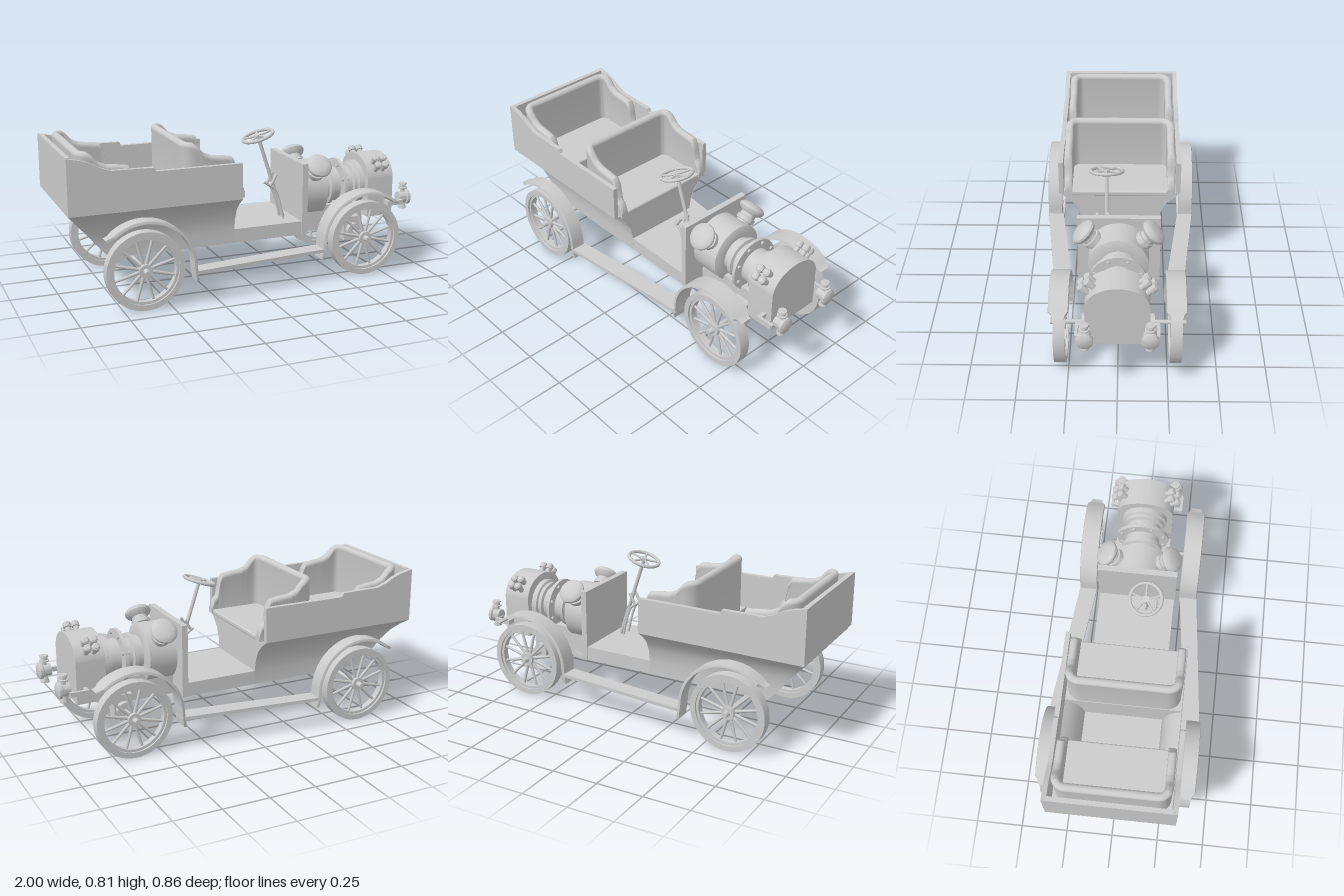
import * as THREE from 'three';
import { toCreasedNormals } from 'three/addons/utils/BufferGeometryUtils.js';
import { RoundedBoxGeometry } from 'three/addons/geometries/RoundedBoxGeometry.js';

const mat = new THREE.MeshStandardMaterial({ color: 0xcccccc });
const thin = new THREE.MeshStandardMaterial({ color: 0xcccccc, side: THREE.DoubleSide });
const V = (x, y, z) => new THREE.Vector3(x, y, z);

function add(parent, name, geo, x = 0, y = 0, z = 0, m = mat) {
  const mesh = new THREE.Mesh(geo, m);
  mesh.name = name;
  mesh.position.set(x, y, z);
  parent.add(mesh);
  return mesh;
}
function group(parent, name, x = 0, y = 0, z = 0) {
  const g = new THREE.Group();
  g.name = name;
  g.position.set(x, y, z);
  parent.add(g);
  return g;
}
// box given by its limits
const box = (p, name, x0, x1, y0, y1, z0, z1) =>
  add(p, name, new THREE.BoxGeometry(x1 - x0, y1 - y0, z1 - z0), (x0 + x1) / 2, (y0 + y1) / 2, (z0 + z1) / 2);
// round bar between two points
function rod(p, name, a, b, r0, r1 = r0, sides = 20) {
  const mesh = add(p, name, new THREE.CylinderGeometry(r1, r0, a.distanceTo(b), sides));
  mesh.position.copy(a).add(b).multiplyScalar(0.5);
  mesh.quaternion.setFromUnitVectors(V(0, 1, 0), b.clone().sub(a).normalize());
  return mesh;
}
const shapeOf = pts => new THREE.Shape(pts.map(p => new THREE.Vector2(...p)));
const extrude = (shape, depth) =>
  toCreasedNormals(new THREE.ExtrudeGeometry(shape, { depth, bevelEnabled: false, curveSegments: 24 }), 0.6);
// cross-section in (z, y) extruded along x
const section = (shape, x0, x1) => extrude(shape, x1 - x0).rotateY(Math.PI / 2).translate(x0, 0, 0);
// turned part: profile of (radius, height), axis along y
const lathe = (pts, n = 32) =>
  toCreasedNormals(new THREE.LatheGeometry(pts.map(p => new THREE.Vector2(...p)), n), 0.6);
// skin over rows of points, all rows equally long
function loft(rows) {
  const n = rows[0].length, idx = [];
  for (let i = 1; i < rows.length; i++) for (let k = 0; k < n - 1; k++) {
    const a = n * (i - 1) + k, b = a + n;
    idx.push(a, b, a + 1, a + 1, b, b + 1);
  }
  const geo = new THREE.BufferGeometry().setFromPoints(rows.flat());
  geo.setIndex(idx);
  return toCreasedNormals(geo, 0.6);
}

// flare of the lower body: half width, height, rear x
const FLARE = [[0.212, 0.235, -0.77], [0.213, 0.31, -0.835], [0.224, 0.375, -0.89], [0.25, 0.432, -0.938], [0.29, 0.473, -0.973], [0.333, 0.505, -1]];

function buildBody(car) {
  const body = group(car, 'body');
  add(body, 'flaredTub', loft(FLARE.map(([w, y, rx]) => [V(-0.09, y, w), V(rx, y, w), V(rx, y, -w), V(-0.09, y, -w)])), 0, 0, 0, thin);
  // solid flared seat bases
  const half = FLARE.map(([w, y]) => [w - 0.002, y]);
  const flare = shapeOf([...half, ...half.map(([w, y]) => [-w, y]).reverse()]);
  add(body, 'frontSeatBase', section(flare, -0.4, -0.09));
  add(body, 'rearSeatBase', section(flare, -0.76, -0.62));
  box(body, 'rearSeatDeck', -0.99, -0.62, 0.49, 0.51, -0.31, 0.31);
  // upper side panels and rear panel
  const side = shapeOf([[-1, 0.505], [-0.09, 0.505], [-0.09, 0.695], [-0.55, 0.695], [-0.56, 0.715], [-0.78, 0.718],
    [-0.83, 0.735], [-0.88, 0.762], [-0.93, 0.78], [-1, 0.795]]);
  for (const z of [0.308, -0.333]) add(body, 'sidePanel', extrude(side, 0.025), 0, 0, z);
  box(body, 'rearPanel', -1, -0.975, 0.505, 0.795, -0.31, 0.31);
  // floor and firewall
  box(body, 'floor', -0.77, 0.335, 0.235, 0.31, -0.21, 0.21);
  box(body, 'firewall', 0.305, 0.337, 0.235, 0.628, -0.215, 0.215);
}

// height of the seat rim along its depth
const RIM = [[0, 0.815], [0.055, 0.812], [0.08, 0.795], [0.11, 0.76], [0.15, 0.742], [0.21, 0.736], [0.265, 0.728], [0.282, 0.7], [0.297, 0.61], [0.318, 0.59], [0.335, 0.545]];
function rimHeight(x) {
  const i = Math.max(1, RIM.findIndex(p => p[0] >= x));
  const [a, b] = [RIM[i - 1], RIM[i]];
  return THREE.MathUtils.mapLinear(x, a[0], b[0], a[1], b[1]);
}

function buildSeat(car, name, x0) {
  const seat = group(car, name, x0, 0, 0);
  // one U-shaped wall with a rolled rim: arm, back, arm
  const plan = new THREE.Path();
  plan.moveTo(0.334, 0.28);
  plan.lineTo(0.075, 0.28);
  plan.absarc(0.075, 0.227, 0.053, Math.PI / 2, Math.PI, false);
  plan.lineTo(0.022, -0.227);
  plan.absarc(0.075, -0.227, 0.053, Math.PI, Math.PI * 1.5, false);
  plan.lineTo(0.334, -0.28);
  const pts = plan.getSpacedPoints(150);
  const row = (i, s) => {
    const p = pts[i], t = pts[Math.min(i + 1, 150)].clone().sub(pts[Math.max(i - 1, 0)]).normalize();
    const h = rimHeight(p.x) - 0.022, prof = [[0.019, 0.505]];
    for (let k = 0; k <= 10; k++) {
      const a = -0.5 + k * (Math.PI + 1) / 10;
      prof.push([0.022 * Math.cos(a), h + 0.022 * Math.sin(a)]);
    }
    prof.push([-0.019, 0.505]);
    return prof.map(([o, y]) => V(p.x - t.y * o * s, y, p.y + t.x * o * s));
  };
  add(seat, 'seatWall', loft([row(0, 0), ...pts.map((p, i) => row(i, 1)), row(150, 0)]), 0, 0, 0, thin);
  add(seat, 'cushion', new RoundedBoxGeometry(0.305, 0.03, 0.55, 3, 0.01), 0.175, 0.512, 0);
}

function buildWheel(car, name, x, z, s, capEnd) {
  const wheel = group(car, name, x, 0.205, z * s);
  add(wheel, 'tyre', lathe([[0.176, -0.029], [0.205, -0.029], [0.205, 0.029], [0.176, 0.029], [0.176, -0.029]], 48).rotateX(Math.PI / 2));
  add(wheel, 'rim', lathe([[0.162, -0.018], [0.178, -0.018], [0.178, 0.018], [0.162, 0.018], [0.162, -0.018]], 48).rotateX(Math.PI / 2));
  for (let i = 0; i < 12; i++) {
    const a = (i + 0.5) * Math.PI / 6, c = Math.cos(a), d = Math.sin(a);
    rod(wheel, 'spoke', V(0.025 * c, 0.025 * d, 0), V(0.166 * c, 0.166 * d, 0), 0.009, 0.007, 10);
  }
  rod(wheel, 'hub', V(0, 0, -0.024), V(0, 0, 0.024), 0.035);
  rod(wheel, 'hubCap', V(0, 0, 0), V(0, 0, s * (capEnd - z)), 0.018, 0.013);
}

// arched mudguard with rounded edges; dir points from the wheel towards the tail
function buildFender(car, name, x, z, half, dir) {
  const path = [[0.274, -0.084, 0.88], [0.272, -0.065, 1]];
  for (let i = 0; i <= 30; i++) path.push([0.265 * Math.cos(i * 0.0755), 0.265 * Math.sin(i * 0.0755), 1]);
  path.push([-0.182, 0.194, 0.7], [-0.205, 0.185, 0.6]);
  // closed cross-section: fraction of the half width, depth below the crown
  const edge = [[-1, 0.015], [-0.98, 0.006], [-0.92, 0], [0.92, 0], [0.98, 0.006], [1, 0.015], [-1, 0.015]];
  const rows = path.map(([px, py, w]) => edge.map(([e, drop]) => {
    const k = 1 - drop / Math.hypot(px, py);
    return V(dir * px * k, py * k, e * w * half);
  }));
  add(car, name, loft(rows), x, 0.205, z, thin);
}

function buildEngine(car) {
  const engine = group(car, 'engine');
  // stepped barrel, profile of (radius, x)
  add(engine, 'engineBarrel', lathe([[0, 0.335], [0.155, 0.335], [0.155, 0.49], [0.13, 0.5], [0.095, 0.5], [0.095, 0.53], [0.112, 0.535],
    [0.112, 0.555], [0.095, 0.56], [0.095, 0.6], [0.145, 0.602], [0.145, 0.62], [0.095, 0.622], [0.095, 0.675], [0.112, 0.68],
    [0.112, 0.7], [0.125, 0.705], [0.125, 0.74], [0, 0.74]].reverse(), 40).rotateZ(-Math.PI / 2), 0, 0.445, 0, thin);
  for (let i = 0; i < 8; i++) {
    const a = (i + 0.5) * Math.PI / 4, y = 0.445 + 0.125 * Math.cos(a), z = 0.125 * Math.sin(a);
    rod(engine, 'flangeBolt', V(0.59, y, z), V(0.632, y, z), 0.01, 0.01, 8);
  }
  box(engine, 'crankcase', 0.335, 0.74, 0.24, 0.35, -0.09, 0.09);
  // arched front hood
  const s = shapeOf([[-0.157, 0.275], [0.157, 0.275], [0.157, 0.49]]);
  s.bezierCurveTo(0.157, 0.535, 0.12, 0.575, 0.095, 0.587);
  s.quadraticCurveTo(0.05, 0.61, 0, 0.61);
  s.quadraticCurveTo(-0.05, 0.61, -0.095, 0.587);
  s.bezierCurveTo(-0.12, 0.575, -0.157, 0.535, -0.157, 0.49);
  add(engine, 'hood', section(s, 0.735, 0.892));
  for (const k of [1, -1]) {
    // large lamp leaning outward
    const lamp = group(engine, 'sideLamp', 0.42, 0.535, k * 0.11);
    lamp.rotation.x = k * Math.PI / 4;
    add(lamp, 'lampBody', lathe([[0, -0.04], [0.042, -0.04], [0.042, 0.02], [0.05, 0.022], [0.05, 0.045], [0.042, 0.047], [0.042, 0.065],
      [0.064, 0.08], [0.071, 0.092], [0.07, 0.103], [0.058, 0.115], [0.04, 0.121], [0, 0.123]]));
    // cluster of four short pipes
    const pipes = group(engine, 'pipeCluster', 0.81, 0.54, k * 0.11);
    pipes.rotation.x = k * Math.PI / 4;
    for (const x of [-0.022, 0.022]) for (const z of [-0.022, 0.022]) {
      add(pipes, 'pipe', lathe([[0, -0.03], [0.015, -0.03], [0.015, 0.05], [0.021, 0.052], [0.021, 0.075], [0.013, 0.083], [0, 0.083]], 16), x, 0, z);
    }
    // headlamp with chimney, base and bracket
    const head = group(engine, 'headlamp', 0.96, 0.37, k * 0.156);
    add(head, 'lampDrum', lathe([[0, -0.035], [0.032, -0.03], [0.034, 0.01], [0.043, 0.015], [0.043, 0.03], [0.034, 0.036], [0, 0.04]]).rotateZ(-Math.PI / 2));
    add(head, 'lampPost', lathe([[0, -0.065], [0.023, -0.065], [0.023, -0.058], [0.013, -0.035], [0.013, 0.045], [0.026, 0.05], [0.026, 0.056],
      [0.018, 0.058], [0.018, 0.072], [0.024, 0.074], [0.022, 0.082], [0, 0.085]], 20));
    box(engine, 'lampBracketArm', 0.84, 0.935, 0.34, 0.365, k * 0.198 - 0.008, k * 0.198 + 0.008);
    box(engine, 'lampBracketFoot', 0.84, 0.86, 0.34, 0.365, k * 0.175 - 0.025, k * 0.175 + 0.025);
    box(engine, 'lampBracketTip', 0.92, 0.94, 0.34, 0.365, k * 0.178 - 0.025, k * 0.178 + 0.025);
  }
}

function buildSteering(car) {
  const top = V(0.105, 0.77, 0.065), foot = V(0.26, 0.3, 0.065);
  rod(car, 'steeringColumn', foot, top, 0.01);
  const wheel = group(car, 'steeringWheel', ...top.toArray());
  wheel.quaternion.setFromUnitVectors(V(0, 1, 0), top.clone().sub(foot).normalize());
  add(wheel, 'steeringRim', new THREE.TorusGeometry(0.084, 0.009, 10, 40).rotateX(Math.PI / 2));
  add(wheel, 'steeringHub', new THREE.CylinderGeometry(0.018, 0.018, 0.018, 16));
  for (let i = 0; i < 5; i++) {
    const a = i * Math.PI * 0.4;
    rod(wheel, 'steeringSpoke', V(0, 0, 0), V(0.084 * Math.cos(a), 0, 0.084 * Math.sin(a)), 0.006, 0.006, 8);
  }
  for (const z of [0.06, 0.115]) {
    const path = new THREE.CatmullRomCurve3([V(0.24, 0.3, z), V(0.21, 0.42, z), V(0.185, 0.48, z), V(0.145, 0.51, z)]);
    add(car, 'handLever', new THREE.TubeGeometry(path, 16, 0.007, 8));
    rod(car, 'leverGrip', V(0.16, 0.5, z), V(0.195, 0.56, z), 0.008);
  }
}

export function createModel() {
  const car = new THREE.Group();
  car.name = 'openTouringCar';
  buildBody(car);
  buildSeat(car, 'rearSeat', -0.945);
  buildSeat(car, 'frontSeat', -0.4);
  buildEngine(car);
  buildSteering(car);
  // running gear
  const FX = 0.645, RX = -0.635;
  rod(car, 'frontAxle', V(FX, 0.207, -0.29), V(FX, 0.207, 0.29), 0.011);
  rod(car, 'rearAxle', V(RX, 0.207, -0.37), V(RX, 0.207, 0.37), 0.011);
  box(car, 'driveShaft', RX - 0.025, FX + 0.025, 0.187, 0.23, -0.021, 0.021);
  for (const k of [1, -1]) {
    buildWheel(car, 'frontWheel', FX, 0.289, k, 0.345);
    buildWheel(car, 'rearWheel', RX, 0.374, k, 0.431);
    buildFender(car, 'frontFender', FX, k * 0.288, 0.051, -1);
    buildFender(car, 'rearFender', RX, k * 0.38, 0.041, 1);
    box(car, 'springBlock', FX - 0.05, FX + 0.05, 0.152, 0.285, k * 0.122 - 0.033, k * 0.122 + 0.033);
    rod(car, 'springDrum', V(FX, 0.21, k * 0.063), V(FX, 0.21, k * 0.185), 0.042);
    // tapering running board
    const board = shapeOf([[-0.375, 0.335], [0.392, 0.24], [0.392, 0.337], [-0.375, 0.42]].map(([x, z]) => [x, k * z]));
    add(car, 'runningBoard', extrude(board, 0.018).rotateX(Math.PI / 2), 0, 0.18, 0);
  }
  return car;
}
